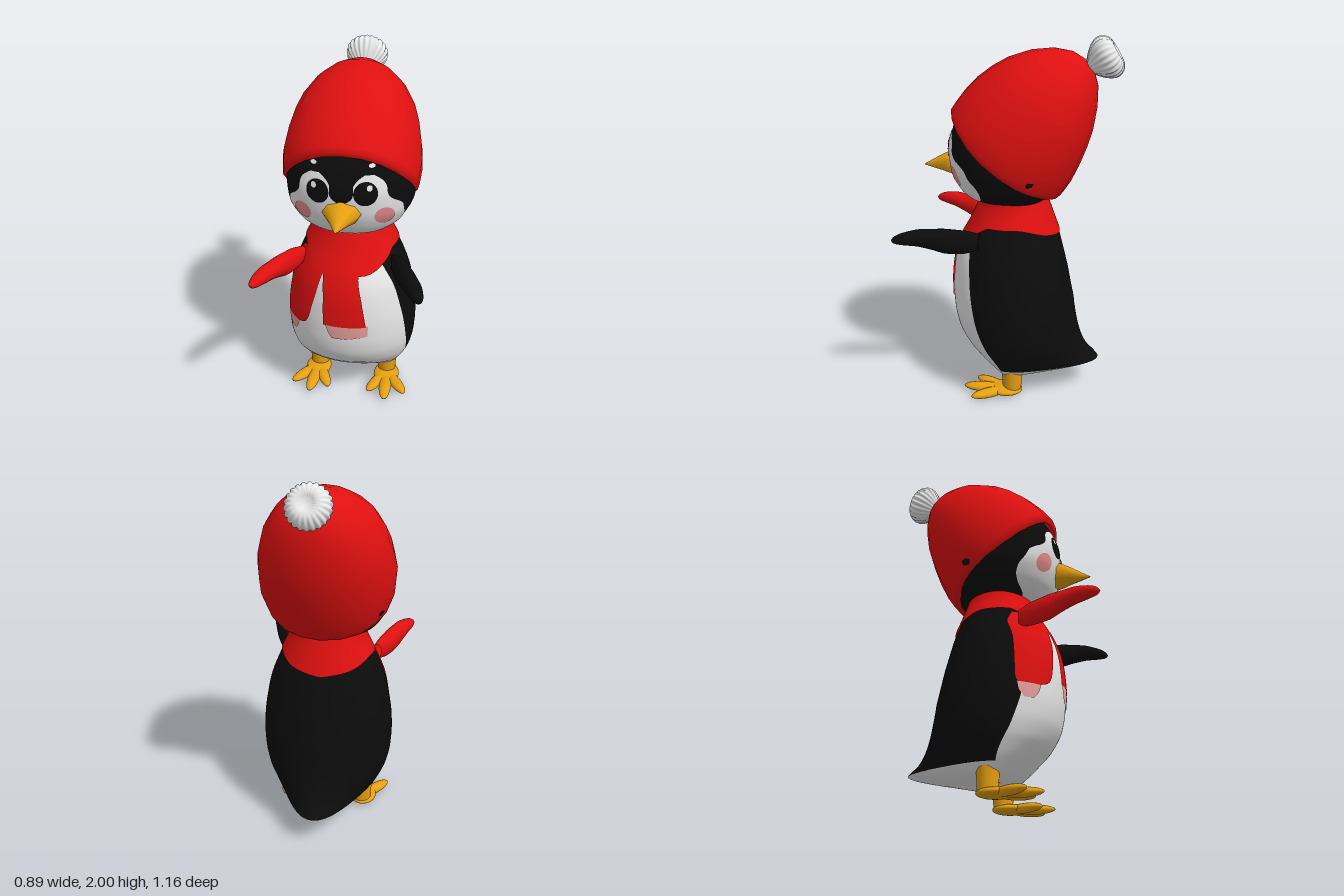
import * as THREE from 'three';
import { mergeVertices } from 'three/addons/utils/BufferGeometryUtils.js';

const mat = (name, color) => new THREE.MeshStandardMaterial({ name, color, side: THREE.DoubleSide });

// Smooth monotone interpolation of column k in a table keyed by its first column
function look(rows, y, k) {
  const n = rows.length;
  if (y <= rows[0][0]) return rows[0][k];
  if (y >= rows[n - 1][0]) return rows[n - 1][k];
  let i = 0;
  while (y > rows[i + 1][0]) i++;
  const slope = (j) => (rows[j + 1][k] - rows[j][k]) / (rows[j + 1][0] - rows[j][0]);
  const tangent = (j) => {
    if (j === 0) return slope(0);
    if (j === n - 1) return slope(n - 2);
    const a = slope(j - 1), b = slope(j);
    return a * b <= 0 ? 0 : (2 * a * b) / (a + b);
  };
  const h = rows[i + 1][0] - rows[i][0], t = (y - rows[i][0]) / h, u = 1 - t;
  return rows[i][k] * (1 + 2 * t) * u * u + h * tangent(i) * t * u * u
    + rows[i + 1][k] * t * t * (3 - 2 * t) - h * tangent(i + 1) * t * t * u;
}

// Grid surface from a function of s and t in 0..1
function grid(fn, ns, nt) {
  const pos = [], idx = [];
  for (let j = 0; j <= nt; j++) for (let i = 0; i <= ns; i++) pos.push(...fn(i / ns, j / nt));
  for (let j = 0; j < nt; j++) for (let i = 0; i < ns; i++) {
    const a = j * (ns + 1) + i, c = a + ns + 1;
    idx.push(a, a + 1, c, a + 1, c + 1, c);
  }
  let g = new THREE.BufferGeometry();
  g.setAttribute('position', new THREE.Float32BufferAttribute(pos, 3));
  g.setIndex(idx);
  g = mergeVertices(g, 1e-5);
  g.computeVertexNormals();
  return g;
}

// Rounded skin from rows [y, half width, front depth, back depth, tail pull]
const pw = (v, e) => Math.sign(v) * Math.pow(Math.abs(v), e);
function skin(rows, n) {
  const at = (th, y, off = 0) => {
    const s = Math.sin(th), c = Math.cos(th), d = look(rows, y, c > 0 ? 2 : 3) + off;
    const tail = rows[0].length > 4 && c < 0 ? look(rows, y, 4) * c ** 4 : 0;
    return [pw(s, 2 / n) * (look(rows, y, 1) + off), y, pw(c, 2 / n) * d - tail];
  };
  const front = (x, y, off) => {
    const q = Math.min(1, Math.abs(x) / (look(rows, y, 1) + off));
    return [x, y, (look(rows, y, 2) + off) * Math.pow(1 - q ** n, 1 / n)];
  };
  return { at, front };
}

// Plate on the front of a skin, from rows [y, x start, x end]
const plate = (sk, rows, off) => grid((s, t) => {
  const y = rows[0][0] + t * (rows[rows.length - 1][0] - rows[0][0]);
  const a = look(rows, y, 1), b = look(rows, y, 2);
  return sk.front(a + (b - a) * s, y, off);
}, 16, 28);

// Oval plate on the front of a skin
const oval = (sk, cx, cy, rx, ry, off) => grid((s, t) => {
  const a = s * Math.PI * 2;
  return sk.front(cx + Math.cos(a) * rx * (1 - t), cy + Math.sin(a) * ry * (1 - t), off);
}, 28, 4);

// Oval sections [x, y, z, rx, ry] joined along z
const loft = (rows, seg, steps) => grid((s, t) => {
  const z0 = rows[0][0], z = z0 + t * (rows[rows.length - 1][0] - z0), a = s * Math.PI * 2;
  const [x, y, rx, ry] = [1, 2, 3, 4].map((k) => look(rows, z, k));
  return [x + rx * Math.cos(a), y + ry * Math.sin(a), z];
}, seg, steps);

export function createModel() {
  const root = new THREE.Group();
  const black = mat('black', 0x0c0c0c), white = mat('white', 0xe9e9e9), red = mat('red', 0xdf1010);
  const orange = mat('orange', 0xe5a012), pink = mat('cheek pink', 0xe88e8e), fringePink = mat('fringe pink', 0xe8a09c);
  const add = (name, geo, m, parent = root) => {
    const mesh = new THREE.Mesh(geo, m);
    mesh.name = name;
    parent.add(mesh);
    return mesh;
  };

  // Body: white belly and underside, black back with a pointed tail
  const body = skin([
    [0.105, 0.1, 0.02, 0.08, 0], [0.12, 0.235, 0.05, 0.2, 0.05], [0.17, 0.285, 0.12, 0.31, 0.19],
    [0.2, 0.305, 0.16, 0.33, 0.13], [0.25, 0.33, 0.215, 0.345, 0.075], [0.3, 0.35, 0.265, 0.36, 0.035],
    [0.4, 0.37, 0.32, 0.357, 0.01], [0.5, 0.375, 0.34, 0.35, 0], [0.6, 0.37, 0.345, 0.33, 0],
    [0.7, 0.355, 0.34, 0.31, 0], [0.8, 0.335, 0.325, 0.285, 0], [0.9, 0.3, 0.29, 0.26, 0],
    [1, 0.255, 0.235, 0.225, 0], [1.1, 0.21, 0.19, 0.19, 0], [1.16, 0.2, 0.17, 0.17, 0]], 2);
  const edgeZ = [[0.1, 0], [0.2, 0.03], [0.35, 0.11], [0.5, 0.16], [0.7, 0.19], [0.9, 0.2], [1.16, 0.08]];
  const edge = (y) => Math.acos(Math.min(0.95, look(edgeZ, y, 1) / body.front(0, y, 0)[2]));
  const band = (y0, y1, back) => (s, t) => {
    const y = y0 + (y1 - y0) * t, e = edge(y);
    return body.at(back ? e + s * 2 * (Math.PI - e) : -e + s * 2 * e, y);
  };
  add('belly', grid(band(0.105, 1.16, false), 40, 60), white);
  add('back', grid(band(0.17, 1.16, true), 48, 56), black);
  add('underside', grid(band(0.105, 0.17, true), 48, 12), white);
  add('bottom', grid((s, t) => body.at(-s * Math.PI * 2, 0.105).map((v, k) => (k === 1 ? v : v * t)), 32, 2), white);

  // Scarf: collar and two hanging ends with fringes
  const hem = [[0, 0.9], [0.35, 0.9], [0.9, 0.96], [1.2, 1], [1.8, 1], [2.6, 0.95], [Math.PI, 0.925]];
  add('scarfCollar', grid((s, t) => {
    const th = (s * 2 - 1) * Math.PI, y0 = look(hem, Math.abs(th), 1);
    return body.at(th, y0 + (1.16 - y0) * t, 0.009);
  }, 64, 12), red);
  add('scarfSideEnd', plate(body, [[0.545, -0.348, -0.27], [0.57, -0.352, -0.22], [0.72, -0.335, -0.17],
    [0.9, -0.295, -0.115], [0.98, -0.25, -0.05]], 0.007), red);
  add('scarfMiddleEnd', plate(body, [[0.6, -0.11, 0.13], [0.75, -0.11, 0.105], [0.9, -0.115, 0.08], [0.96, -0.115, 0.08]], 0.008), red);
  add('sideFringe', plate(body, [[0.47, -0.33, -0.295], [0.51, -0.345, -0.275], [0.55, -0.348, -0.265]], 0.006), fringePink);
  add('middleFringe', plate(body, [[0.515, -0.06, 0.02], [0.54, -0.075, 0.14], [0.605, -0.1, 0.14]], 0.006), fringePink);

  // Head
  const head = skin([
    [1.11, 0.16, 0.19, 0.15], [1.14, 0.24, 0.24, 0.2], [1.2, 0.3, 0.295, 0.265], [1.3, 0.345, 0.335, 0.32],
    [1.4, 0.35, 0.348, 0.35], [1.5, 0.34, 0.33, 0.35], [1.6, 0.3, 0.285, 0.32], [1.7, 0.2, 0.19, 0.25], [1.78, 0.02, 0.02, 0.02]], 2.3);
  add('head', grid((s, t) => head.at((s * 2 - 1) * Math.PI, 1.11 + 0.67 * t), 64, 40), black);
  add('headBase', grid((s, t) => head.at(-s * Math.PI * 2, 1.11).map((v, k) => (k === 1 ? v : v * t)), 32, 2), black);

  // Face: mirrored white mask, eyes, brows and cheeks
  const mask = [[1.112, 0, 0.13], [1.15, 0, 0.23], [1.2, 0, 0.283], [1.26, 0, 0.305], [1.32, 0, 0.3], [1.355, 0, 0.275],
    [1.375, 0.04, 0.25], [1.41, 0.06, 0.228], [1.45, 0.06, 0.222], [1.485, 0.08, 0.2], [1.512, 0.115, 0.16]];
  for (const [side, m] of [['left', 1], ['right', -1]]) {
    add(side + 'FaceMask', plate(head, mask.map(([y, a, b]) => [y, m * a, m * b]), 0.004), white);
    add(side + 'Eye', oval(head, m * 0.122, 1.418, 0.06, 0.064, 0.007), black);
    add(side + 'EyeGlint', oval(head, m * 0.142, 1.45, 0.014, 0.016, 0.009), white);
    add(side + 'Brow', oval(head, m * 0.147, 1.556, 0.016, 0.01, 0.005), white);
    add(side + 'Cheek', oval(head, m * 0.213, 1.28, 0.048, 0.053, 0.007), pink);
  }
  add('beak', loft([[0.28, 0, 1.3, 0.108, 0.075], [0.34, 0, 1.303, 0.1, 0.068], [0.39, 0, 1.301, 0.07, 0.053],
    [0.45, 0, 1.292, 0.036, 0.03], [0.515, 0, 1.283, 0.002, 0.002]], 8, 10), orange);

  // Wings, one in each colour
  const wing = loft([[0.14, 0.26, 0.93, 0.025, 0.045], [0.22, 0.295, 0.935, 0.045, 0.065], [0.3, 0.325, 0.945, 0.05, 0.068],
    [0.38, 0.355, 0.962, 0.05, 0.055], [0.46, 0.385, 0.974, 0.047, 0.043], [0.53, 0.411, 0.972, 0.034, 0.03],
    [0.562, 0.421, 0.968, 0.021, 0.018], [0.577, 0.426, 0.967, 0.001, 0.001]], 20, 36);
  add('leftWing', wing, black);
  add('rightWing', wing, red).scale.x = -1;

  // Legs and three-toed feet
  const toes = [[0.145, 0.125, 0.035], [0.225, 0.17, 0.037], [0.31, 0.115, 0.036]];
  for (const m of [1, -1]) {
    const foot = new THREE.Group();
    foot.name = m > 0 ? 'leftFoot' : 'rightFoot';
    root.add(foot);
    add('leg', new THREE.CylinderGeometry(0.06, 0.052, 0.13, 20), orange, foot).position.set(0.212, 0.09, -0.03);
    const heel = add('heel', new THREE.SphereGeometry(1, 24, 14), orange, foot);
    heel.scale.set(0.078, 0.028, 0.1);
    heel.position.set(0.215, 0.028, 0.01);
    for (const [x, z, r] of toes) {
      const toe = add('toe', new THREE.SphereGeometry(1, 20, 14), orange, foot);
      const dx = x - 0.215, dz = z + 0.02, len = Math.hypot(dx, dz);
      toe.scale.set(r, 0.026, len * 0.5 + 0.03);
      toe.position.set(0.215 + dx * 0.68, 0.026, -0.02 + dz * 0.68 + 0.015);
      toe.rotation.y = Math.atan2(dx, dz);
    }
    foot.scale.x = m;
  }

  // Knitted hat tilted back, with a sagging rim
  const cap = [[-0.012, 0.335, 0.355, 0.355], [0, 0.36, 0.383, 0.383], [0.1, 0.375, 0.387, 0.375], [0.2, 0.363, 0.378, 0.35],
    [0.39, 0.31, 0.316, 0.28], [0.5, 0.247, 0.245, 0.215], [0.58, 0.165, 0.165, 0.15], [0.63, 0.08, 0.08, 0.08], [0.646, 0.001, 0.001, 0.001]];
  const levels = [-0.012, 0, 0.03, 0.1, 0.2, 0.3, 0.39, 0.5, 0.58, 0.63, 0.646];
  const capSkin = skin(cap, 2.1);
  const hat = add('hat', grid((s, t) => {
    const th = (s * 2 - 1) * Math.PI, h = levels[Math.round(t * 10)];
    const p = capSkin.at(th, h);
    p[1] -= 0.045 * Math.sin(th) ** 2 * Math.max(0, 1 - h / 0.3);
    return p;
  }, 22, 10), red);
  hat.position.set(0, 1.385, 0.035);
  hat.rotation.x = -0.69;

  // Ribbed pompom
  const profile = [[0.02, -0.01], [0.06, 0.02], [0.095, 0.06], [0.112, 0.1], [0.106, 0.135], [0.08, 0.162], [0.05, 0.167], [0.025, 0.157], [0, 0.152]];
  const curve = new THREE.SplineCurve(profile.map(([r, h]) => new THREE.Vector2(r, h)));
  const pompom = add('pompom', grid((s, t) => {
    const p = curve.getPoint(t), a = s * Math.PI * 2, r = Math.max(0, p.x) * (1 + 0.04 * Math.cos(a * 22));
    return [r * Math.sin(a), p.y, r * Math.cos(a)];
  }, 132, 24), white);
  pompom.position.set(0, 1.838, -0.402);
  pompom.rotation.x = -Math.atan2(0.85, 0.52);

  return root;
}
